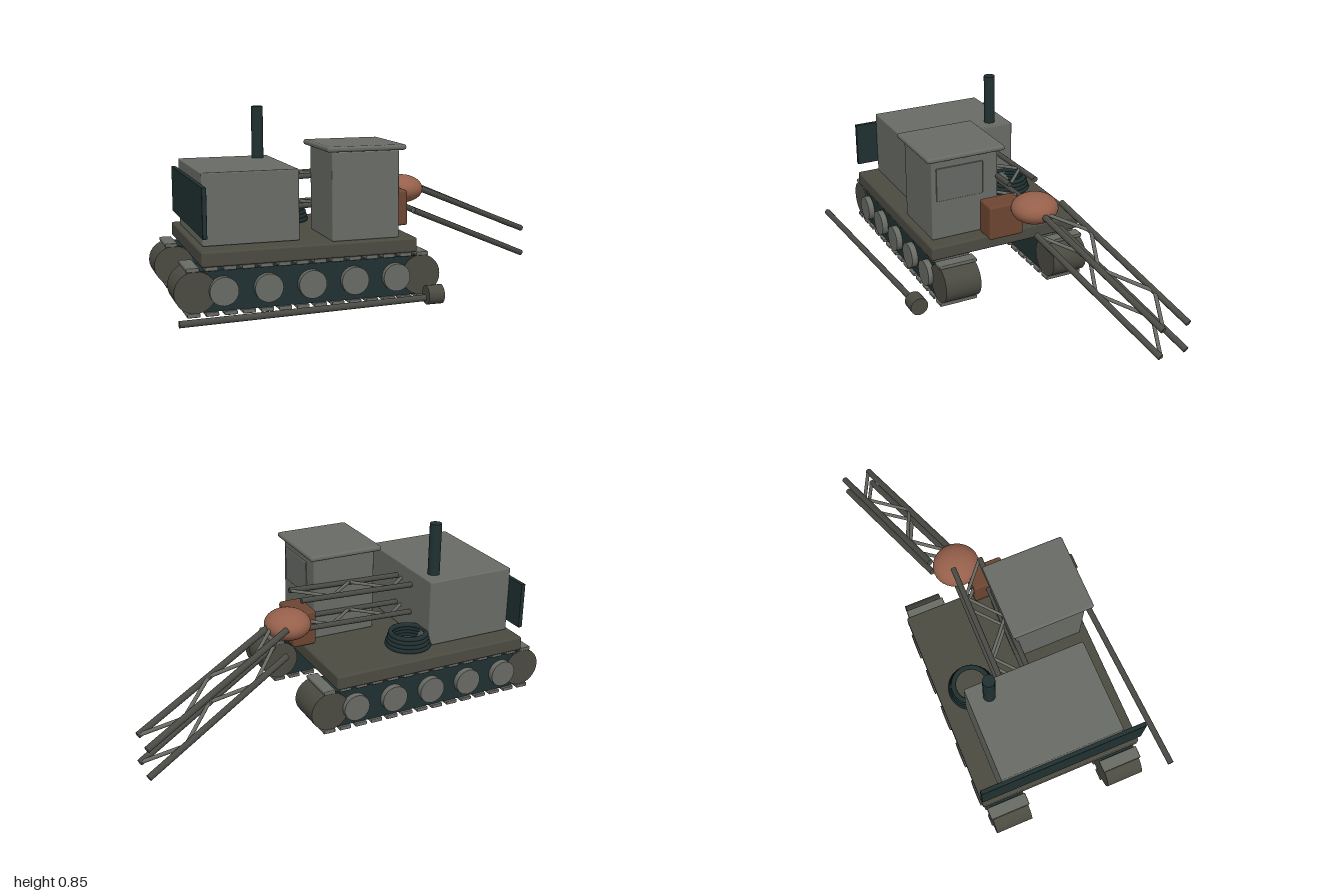
import * as THREE from 'three';
import { RoundedBoxGeometry } from 'three/addons/geometries/RoundedBoxGeometry.js';

const paint = (name, color) => {
  const m = new THREE.MeshStandardMaterial({ color });
  m.name = name;
  return m;
};
const V = (x, y, z) => new THREE.Vector3(x, y, z);

export function createModel() {
  const root = new THREE.Group();
  root.name = 'crawlerCrane';

  const grey = paint('bodyGrey', 0x686b65);
  const glass = paint('windowGrey', 0x646863);
  const olive = paint('darkOlive', 0x4b4a41);
  const pole = paint('poleGrey', 0x4a4a45);
  const steel = paint('steelGrey', 0x686a64);
  const dark = paint('blackGreen', 0x203031);
  const brown = paint('rustBrown', 0x6c4532);
  const rust = paint('rustOrange', 0x96604b);

  const add = (parent, name, geometry, material, x = 0, y = 0, z = 0) => {
    const mesh = new THREE.Mesh(geometry, material);
    mesh.name = name;
    mesh.position.set(x, y, z);
    parent.add(mesh);
    return mesh;
  };
  // Softly edged box given by its lower and upper corners
  const box = (parent, name, material, a, b, r = 0.006) => add(parent, name,
    new RoundedBoxGeometry(b[0] - a[0], b[1] - a[1], b[2] - a[2], 2, r), material,
    (a[0] + b[0]) / 2, (a[1] + b[1]) / 2, (a[2] + b[2]) / 2);
  // Round bar between two points
  const bar = (parent, name, material, a, b, r, sides = 10) => {
    const mesh = add(parent, name, new THREE.CylinderGeometry(r, r, a.distanceTo(b), sides), material);
    mesh.position.copy(a).add(b).multiplyScalar(0.5);
    mesh.quaternion.setFromUnitVectors(V(0, 1, 0), b.clone().sub(a).normalize());
    return mesh;
  };

  // Crawler tracks, with road wheels on the outer side only
  const track = (name, z, side) => {
    const g = new THREE.Group();
    g.name = name;
    g.position.z = z;
    root.add(g);
    add(g, 'trackBody', new THREE.BoxGeometry(1.03, 0.18, 0.165), dark, -0.385, 0.11, 0);
    for (const x of [-0.9, 0.13]) {
      add(g, 'endDrum', new THREE.CylinderGeometry(0.092, 0.092, 0.178, 28).rotateX(Math.PI / 2), olive, x, 0.11, 0);
    }
    for (let i = 0; i < 14; i++) {
      const x = -0.91 + i * 0.0804;
      for (const y of [0.011, 0.208]) {
        add(g, 'treadPlate', new RoundedBoxGeometry(0.057, 0.018, 0.19, 1, 0.004), steel, x, y, 0);
      }
    }
    for (let i = 0; i < 5; i++) {
      add(g, 'roadWheel', new THREE.CylinderGeometry(0.063, 0.063, 0.04, 24).rotateX(Math.PI / 2),
        steel, -0.78 + i * 0.1965, 0.11, side * 0.092);
    }
  };
  track('leftTrack', 0.218, 1);
  track('rightTrack', -0.35, -1);

  // Deck, machinery house and radiator
  box(root, 'deck', olive, [-0.875, 0.218, -0.46], [0.105, 0.286, 0.325], 0.01);
  box(root, 'machineryHouse', grey, [-0.85, 0.288, -0.36], [-0.415, 0.608, 0.22]);
  box(root, 'radiator', dark, [-0.868, 0.34, -0.46], [-0.848, 0.56, 0.33], 0.002);
  add(root, 'exhaustStack', new THREE.CylinderGeometry(0.028, 0.028, 0.26, 20), dark, -0.485, 0.725, -0.265);

  // Operator cab
  box(root, 'cab', grey, [-0.285, 0.285, -0.05], [0.03, 0.682, 0.288]);
  box(root, 'cabRoof', grey, [-0.312, 0.684, -0.077], [0.056, 0.709, 0.315], 0.011);
  box(root, 'cabWindow', glass, [0.027, 0.48, 0.028], [0.035, 0.645, 0.265], 0.0035);

  // Cable coil lying on the deck
  for (let i = 0; i < 4; i++) {
    add(root, 'cableCoil', new THREE.TorusGeometry(0.098 - i * 0.005, 0.012, 8, 32).rotateX(Math.PI / 2),
      dark, -0.34, 0.297 + i * 0.018, -0.3);
  }

  // Lattice boom: four chords with zigzag braces on the upper and lower faces
  const lattice = (name, planes, chordR, braceR) => {
    const g = new THREE.Group();
    g.name = name;
    root.add(g);
    for (const [near, far] of planes) {
      for (const [a, b] of [near, far]) bar(g, 'chord', pole, a, b, chordR);
      const node = (i) => {
        const [a, b] = i % 2 ? far : near;
        return a.clone().lerp(b, i / 4);
      };
      for (let i = 0; i < 4; i++) bar(g, 'brace', steel, node(i), node(i + 1), braceR, 8);
    }
  };
  lattice('brokenBoom', [
    [[V(0.27, 0.452, -0.137), V(0.988, 0.157, -0.35)], [V(0.26, 0.465, -0.263), V(0.988, 0.157, -0.48)]],
    [[V(0.27, 0.33, -0.13), V(0.988, 0.022, -0.348)], [V(0.26, 0.335, -0.26), V(0.988, 0.022, -0.48)]],
  ], 0.015, 0.009);
  lattice('boomStub', [
    [[V(-0.46, 0.533, -0.05), V(0.155, 0.555, -0.05)], [V(-0.46, 0.533, -0.183), V(0.155, 0.555, -0.183)]],
    [[V(-0.46, 0.394, -0.05), V(0.155, 0.414, -0.05)], [V(-0.46, 0.394, -0.183), V(0.155, 0.414, -0.183)]],
  ], 0.013, 0.008);

  // Rusted joint at the break
  box(root, 'jointBlock', brown, [0.05, 0.292, -0.12], [0.165, 0.462, 0.056], 0.012);
  add(root, 'rustedJoint', new THREE.SphereGeometry(1, 32, 20), rust, 0.21, 0.44, -0.152).scale.set(0.107, 0.069, 0.112);

  // Fallen pole with a heavy head on the ground
  bar(root, 'fallenPole', pole, V(-0.999, 0.025, 0.473), V(0.13, 0.03, 0.42), 0.015, 12);
  add(root, 'poleHead', new THREE.CylinderGeometry(0.043, 0.043, 0.074, 20).rotateZ(Math.PI / 2), olive, 0.143, 0.044, 0.426);

  return root;
}
